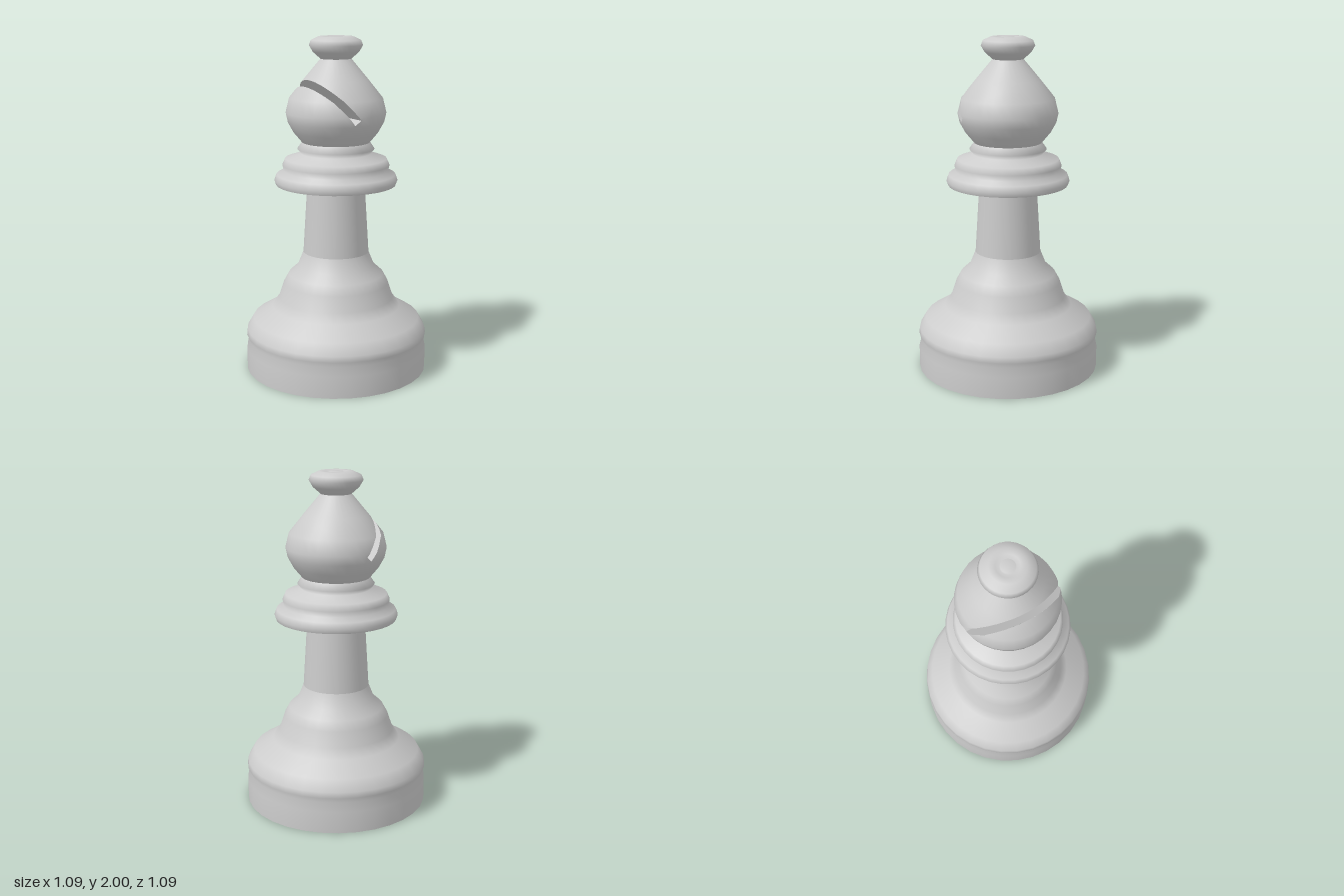
import * as THREE from 'three';

const SIDES = 32;
const material = new THREE.MeshStandardMaterial({ color: 0xcccccc, side: THREE.DoubleSide });

// Profiles as [radius, height], from bottom to top
const BASE = [[.545, 0], [.545, .13], [.532, .185], [.545, .215], [.54, .25], [.502, .315], [.385, .385],
  [.345, .44], [.315, .53], [.285, .585], [.23, .635], [.196, .72]];
const STEM = [[.196, .72], [.172, 1.115]];
const COLLAR_UNDERSIDE = [[.165, 1.11], [.355, 1.133]];
const COLLAR = [[.355, 1.133], [.365, 1.16], [.352, 1.195], [.31, 1.217], [.317, 1.25], [.3, 1.288],
  [.205, 1.318], [.228, 1.345], [.2, 1.385]];
const HEAD = [[.2, 1.385], [.25, 1.445], [.283, 1.505], [.295, 1.56], [.274, 1.645], [.19, 1.75], [.09, 1.87]];
const KNOB = [[.09, 1.87], [.135, 1.91], [.157, 1.948], [.145, 1.977], [.1, 1.998], [.065, 1.998],
  [.045, 1.988], [.04, 1.997], [0, 1.997]];

// Slot: bottom centre, outward direction, across direction, half width
const END = new THREE.Vector2(-.026, 1.529);
const OUT = new THREE.Vector2(-.641, .767);
const ACROSS = new THREE.Vector2(.767, .641);
const HALF = .0225;

const lathe = (profile) =>
  new THREE.LatheGeometry(profile.map(([r, y]) => new THREE.Vector2(r, y)), SIDES);

function addMesh(group, name, geometry) {
  const mesh = new THREE.Mesh(geometry, material);
  mesh.name = name;
  group.add(mesh);
}

// Signed distances that are all positive inside the slot
const slotPlanes = [
  (p) => (p.x - END.x) * OUT.x + (p.y - END.y) * OUT.y,
  (p) => HALF - ((p.x - END.x) * ACROSS.x + (p.y - END.y) * ACROSS.y),
  (p) => HALF + ((p.x - END.x) * ACROSS.x + (p.y - END.y) * ACROSS.y),
];

// Split a convex polygon of {p, n} corners into its inner and outer part
function split(poly, plane) {
  const inner = [], outer = [];
  poly.forEach((a, i) => {
    const b = poly[(i + 1) % poly.length];
    const da = plane(a.p), db = plane(b.p);
    (da > 0 ? inner : outer).push(a);
    if ((da > 0) !== (db > 0)) {
      const t = da / (da - db);
      const c = { p: a.p.clone().lerp(b.p, t), n: a.n.clone().lerp(b.n, t).normalize() };
      inner.push(c);
      outer.push(c);
    }
  });
  return [inner, outer];
}

// Head surface with the slot removed
function slottedHead() {
  const source = lathe(HEAD).toNonIndexed();
  const { position, normal } = source.attributes;
  const positions = [], normals = [];
  const emit = (poly) => {
    for (let i = 1; i < poly.length - 1; i++) {
      for (const v of [poly[0], poly[i], poly[i + 1]]) {
        positions.push(...v.p.toArray());
        normals.push(...v.n.toArray());
      }
    }
  };
  for (let i = 0; i < position.count; i += 3) {
    let rest = [0, 1, 2].map((k) => ({
      p: new THREE.Vector3().fromBufferAttribute(position, i + k),
      n: new THREE.Vector3().fromBufferAttribute(normal, i + k),
    }));
    for (const plane of slotPlanes) {
      const [inner, outer] = split(rest, plane);
      emit(outer);
      rest = inner;
    }
  }
  const geometry = new THREE.BufferGeometry();
  geometry.setAttribute('position', new THREE.Float32BufferAttribute(positions, 3));
  geometry.setAttribute('normal', new THREE.Float32BufferAttribute(normals, 3));
  return geometry;
}

function headRadius(y) {
  for (let i = 1; i < HEAD.length; i++) {
    const [r0, y0] = HEAD[i - 1], [r1, y1] = HEAD[i];
    if (y <= y1) return r0 + (r1 - r0) * (y - y0) / (y1 - y0);
  }
  return HEAD[HEAD.length - 1][0];
}

// Half depth of the many-sided head at a point of the front plane
function halfDepth(x, y) {
  const r = headRadius(y), step = 2 * Math.PI / SIDES;
  if (Math.abs(x) >= r) return 0;
  const a = Math.floor(Math.acos(x / r) / step) * step, b = a + step;
  const t = (x / r - Math.cos(a)) / (Math.cos(b) - Math.cos(a));
  return r * (Math.sin(a) + (Math.sin(b) - Math.sin(a)) * t);
}

const slotPoint = (along, across) =>
  END.clone().addScaledVector(OUT, along).addScaledVector(ACROSS, across);

// Where a slot wall meets the outside of the head
function mouth(across) {
  let low = 0, high = .5;
  for (let i = 0; i < 30; i++) {
    const mid = (low + high) / 2, p = slotPoint(mid, across);
    if (-p.x < headRadius(p.y)) low = mid; else high = mid;
  }
  return slotPoint(low, across);
}

// Flat wall through the head from front to back
function slotWall(from, to, steps) {
  const positions = [], index = [];
  for (let i = 0; i <= steps; i++) {
    const p = from.clone().lerp(to, i / steps), z = halfDepth(p.x, p.y);
    positions.push(p.x, p.y, z, p.x, p.y, -z);
    const k = i * 2;
    if (i < steps) index.push(k, k + 2, k + 1, k + 2, k + 3, k + 1);
  }
  const geometry = new THREE.BufferGeometry();
  geometry.setAttribute('position', new THREE.Float32BufferAttribute(positions, 3));
  geometry.setIndex(index);
  geometry.computeVertexNormals();
  return geometry;
}

export function createModel() {
  const model = new THREE.Group();
  model.name = 'chessBishop';

  // Turned body, open underneath
  addMesh(model, 'base', lathe(BASE));
  addMesh(model, 'stem', lathe(STEM));
  addMesh(model, 'collarUnderside', lathe(COLLAR_UNDERSIDE));
  addMesh(model, 'collar', lathe(COLLAR));

  // Head with its slanted slot
  const head = new THREE.Group();
  head.name = 'head';
  addMesh(head, 'headSurface', slottedHead());
  const low = slotPoint(0, -HALF), high = slotPoint(0, HALF);
  addMesh(head, 'slotLowerWall', slotWall(mouth(-HALF), low, 40));
  addMesh(head, 'slotEnd', slotWall(low, high, 6));
  addMesh(head, 'slotUpperWall', slotWall(high, mouth(HALF), 40));
  model.add(head);

  addMesh(model, 'knob', lathe(KNOB));
  return model;
}
